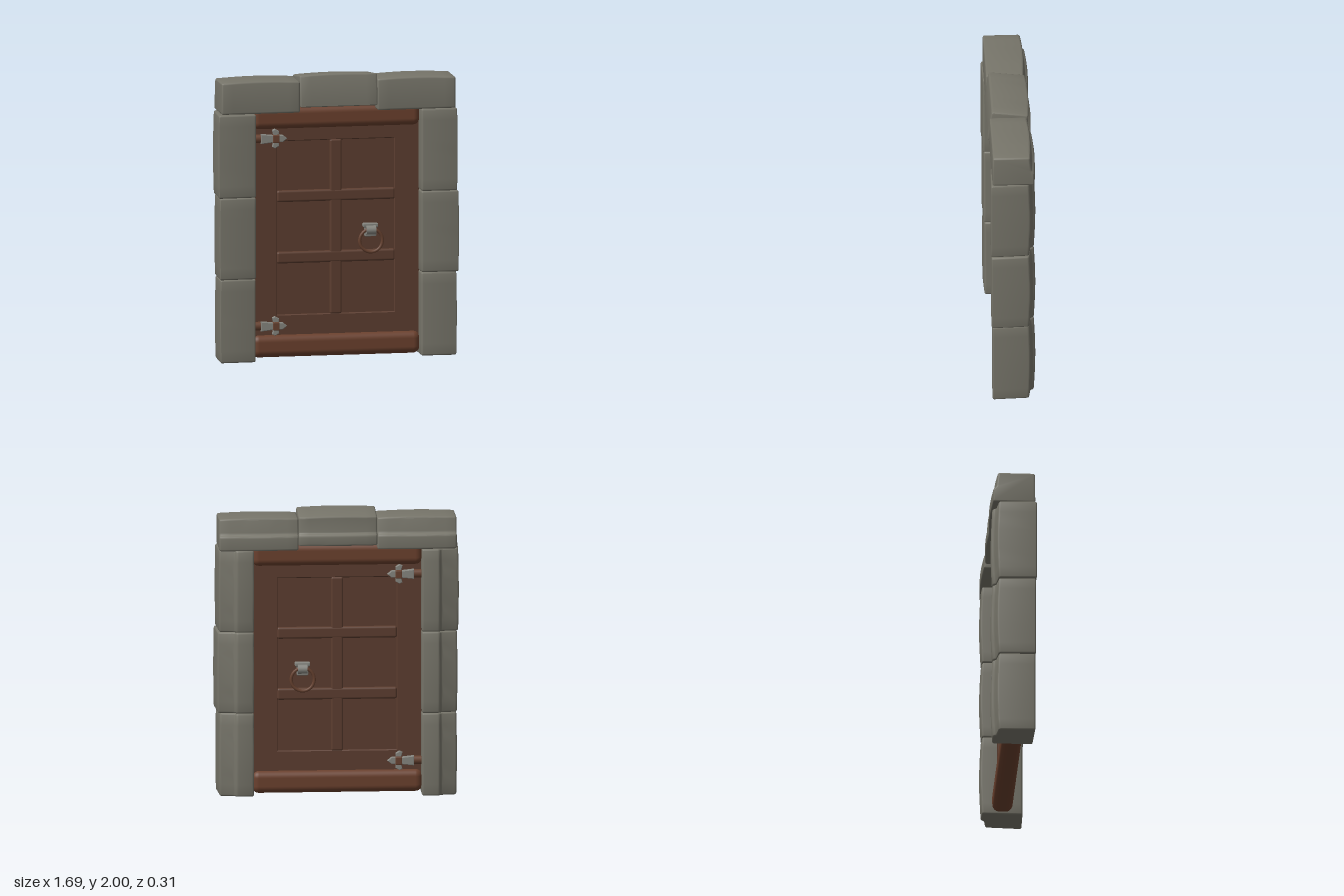
import * as THREE from 'three';
import { toCreasedNormals } from 'three/addons/utils/BufferGeometryUtils.js';
import { RoundedBoxGeometry } from 'three/addons/geometries/RoundedBoxGeometry.js';

export function createModel() {
  const model = new THREE.Group();
  const mat = (name, color) => new THREE.MeshStandardMaterial({ name, color });
  const stone = mat('stone', 0x77756a);
  const wood = mat('doorWood', 0x5c3d2f);
  const beamWood = mat('beamWood', 0x6a402d);
  const metal = mat('metal', 0x85857f);
  const rust = mat('rustyMetal', 0x66412f);

  function add(parent, name, geo, material, x = 0, y = 0, z = 0) {
    const m = new THREE.Mesh(geo, material);
    m.name = name;
    m.position.set(x, y, z);
    parent.add(m);
    return m;
  }

  // closed outline with softened corners
  function softShape(pts, r) {
    const s = new THREE.Shape();
    const v = pts.map(p => new THREE.Vector2(...p));
    v.forEach((p, i) => {
      const toward = q => p.clone().add(q.clone().sub(p).setLength(Math.min(r, q.distanceTo(p) * 0.45)));
      const a = toward(v[(i + v.length - 1) % v.length]);
      const b = toward(v[(i + 1) % v.length]);
      if (i) s.lineTo(a.x, a.y); else s.moveTo(a.x, a.y);
      s.quadraticCurveTo(p.x, p.y, b.x, b.y);
    });
    s.closePath();
    return s;
  }

  // stone block: section swept along its length, then bulged by a rule
  function block(pts, length, bulge) {
    const bevel = 0.012;
    const geo = new THREE.ExtrudeGeometry(softShape(pts, 0.014), {
      depth: length - 2 * bevel, steps: 8, curveSegments: 3,
      bevelEnabled: true, bevelThickness: bevel, bevelSize: bevel, bevelOffset: -bevel, bevelSegments: 3,
    });
    geo.translate(0, 0, bevel);
    const p = geo.attributes.position;
    for (let i = 0; i < p.count; i++) {
      const t = p.getZ(i) / length;
      const [dx, dy] = bulge(p.getX(i), p.getY(i), Math.sin(Math.PI * t), t);
      p.setXY(i, p.getX(i) + dx, p.getY(i) + dy);
    }
    return geo;
  }

  // jambs: three stacked stones per side, with a raised strip at the inner back
  const jambs = [
    { side: -1, cuts: [0.005, 0.585, 1.155, 1.735], outer: [0.832, 0.836, 0.845], front: [0.143, 0.147, 0.153] },
    { side: 1, cuts: [0.015, 0.598, 1.165, 1.74], outer: [0.828, 0.842, 0.832], front: [0.143, 0.15, 0.153] },
  ];
  for (const { side, cuts, outer, front } of jambs) {
    for (let i = 0; i < 3; i++) {
      const o = outer[i], f = front[i];
      const pts = [[0.58, -f + 0.006], [o, -f], [o - 0.012, 0.108], [0.715, 0.122], [0.7, 0.147], [0.58, 0.142]]
        .map(([x, y]) => [side * x, y]);
      const geo = block(pts, cuts[i + 1] - cuts[i], (x, y, s) => [
        Math.abs(x) > 0.75 ? side * 0.004 * (s - 0.5) : 0,
        y > 0 ? 0.011 * s : 0,
      ]);
      geo.rotateX(-Math.PI / 2);
      add(model, 'jambStone', toCreasedNormals(geo, 0.6), stone, 0, cuts[i]);
    }
  }

  // lintel: two side stones and a taller middle stone, ledge along the lower back
  const sideSection = [[-0.143, 1.738], [-0.14, 1.957], [0.115, 1.957], [0.125, 1.85], [0.146, 1.838], [0.147, 1.738]];
  const midSection = [[-0.155, 1.775], [-0.125, 1.995], [0.128, 1.965], [0.118, 1.855], [0.142, 1.84], [0.14, 1.765]];
  for (const [x0, x1, pts] of [[-0.82, -0.272, sideSection], [0.272, 0.82, sideSection], [-0.272, 0.272, midSection]]) {
    const geo = block(pts, x1 - x0, (x, y, s) => [x > 0 ? 0.011 * s : 0, y > 1.9 ? 0.008 * s : 0]);
    geo.rotateY(Math.PI / 2);
    add(model, 'lintelStone', toCreasedNormals(geo, 0.6), stone, x0);
  }

  // rounded beams above and below the door
  for (const [y0, y1] of [[0.02, 0.178], [1.612, 1.77]]) {
    add(model, 'beam', new RoundedBoxGeometry(1.18, y1 - y0, 0.14, 5, 0.05), beamWood, 0, (y0 + y1) / 2, -0.005);
  }

  // door leaf: recessed panel sheet, surrounding frame, stile and rails
  const door = new THREE.Group();
  door.name = 'door';
  door.position.z = -0.005;
  model.add(door);
  add(door, 'panelSheet', new THREE.BoxGeometry(0.86, 1.26, 0.044), wood, 0, 0.92);
  const rect = (S, x0, y0, x1, y1) => {
    const s = new S();
    s.moveTo(x0, y0); s.lineTo(x1, y0); s.lineTo(x1, y1); s.lineTo(x0, y1);
    s.closePath();
    return s;
  };
  const frame = rect(THREE.Shape, -0.585, 0.15, 0.585, 1.64);
  frame.holes.push(rect(THREE.Path, -0.41, 0.315, 0.41, 1.525));
  const frameGeo = new THREE.ExtrudeGeometry(frame, {
    depth: 0.06, bevelEnabled: true, bevelThickness: 0.006, bevelSize: 0.006, bevelOffset: -0.006, bevelSegments: 1,
  });
  frameGeo.translate(0, 0, -0.03);
  add(door, 'doorFrame', frameGeo, wood);
  add(door, 'stile', new RoundedBoxGeometry(0.085, 1.22, 0.08, 3, 0.014), wood, 0, 0.92);
  for (const y of [0.712, 1.14]) {
    add(door, 'rail', new RoundedBoxGeometry(0.83, 0.082, 0.084, 3, 0.016), wood, 0, y);
  }

  // plate cut from an outline, lying on the door face
  const plate = (pts, depth) => {
    const geo = new THREE.ExtrudeGeometry(new THREE.Shape(pts.map(p => new THREE.Vector2(...p))), {
      depth, bevelEnabled: true, bevelThickness: 0.005, bevelSize: 0.005, bevelOffset: -0.005, bevelSegments: 2,
    });
    return geo;
  };

  for (const back of [false, true]) {
    // strap hinges with a crossed pointed end
    for (const y of [0.24, 1.548]) {
      const hinge = new THREE.Group();
      hinge.name = 'hinge';
      hinge.position.y = y;
      if (back) hinge.rotation.x = Math.PI;
      door.add(hinge);
      const knuckle = new THREE.CapsuleGeometry(0.031, 0.06, 4, 14);
      knuckle.rotateZ(Math.PI / 2);
      add(hinge, 'hingeKnuckle', knuckle, rust, -0.546, 0, 0.035);
      add(hinge, 'hingeStrap', plate([[-0.53, -0.034], [-0.44, -0.024], [-0.44, 0.024], [-0.53, 0.034]], 0.03), metal, 0, 0, 0.035);
      add(hinge, 'hingeBoss', new RoundedBoxGeometry(0.046, 0.056, 0.05, 2, 0.006), rust, -0.424, 0, 0.055);
      add(hinge, 'hingePoint', plate([[-0.41, -0.024], [-0.375, -0.024], [-0.345, 0], [-0.375, 0.024], [-0.41, 0.024]], 0.022), metal, 0, 0, 0.035);
      for (const s of [-1, 1]) {
        add(hinge, 'hingeArm', plate([[-0.44, s * 0.02], [-0.405, s * 0.02], [-0.402, s * 0.052], [-0.43, s * 0.068], [-0.45, s * 0.058]], 0.022), metal, 0, 0, 0.035);
      }
    }

    // ring knocker
    const knocker = new THREE.Group();
    knocker.name = 'knocker';
    knocker.position.set(0.24, 0.82, 0);
    if (back) knocker.rotation.y = Math.PI;
    door.add(knocker);
    add(knocker, 'knockerCap', new RoundedBoxGeometry(0.105, 0.026, 0.05, 2, 0.006), metal, 0, 0.104, 0.042);
    add(knocker, 'knockerPlate', new RoundedBoxGeometry(0.08, 0.08, 0.04, 2, 0.006), metal, 0, 0.066, 0.04);
    const boss = new THREE.CylinderGeometry(0.033, 0.033, 0.066, 16);
    boss.rotateZ(Math.PI / 2);
    add(knocker, 'knockerBoss', boss, metal, 0, 0.072, 0.064);
    add(knocker, 'knockerRing', new THREE.TorusGeometry(0.08, 0.011, 8, 32), rust, 0, 0, 0.072);
  }

  return model;
}
